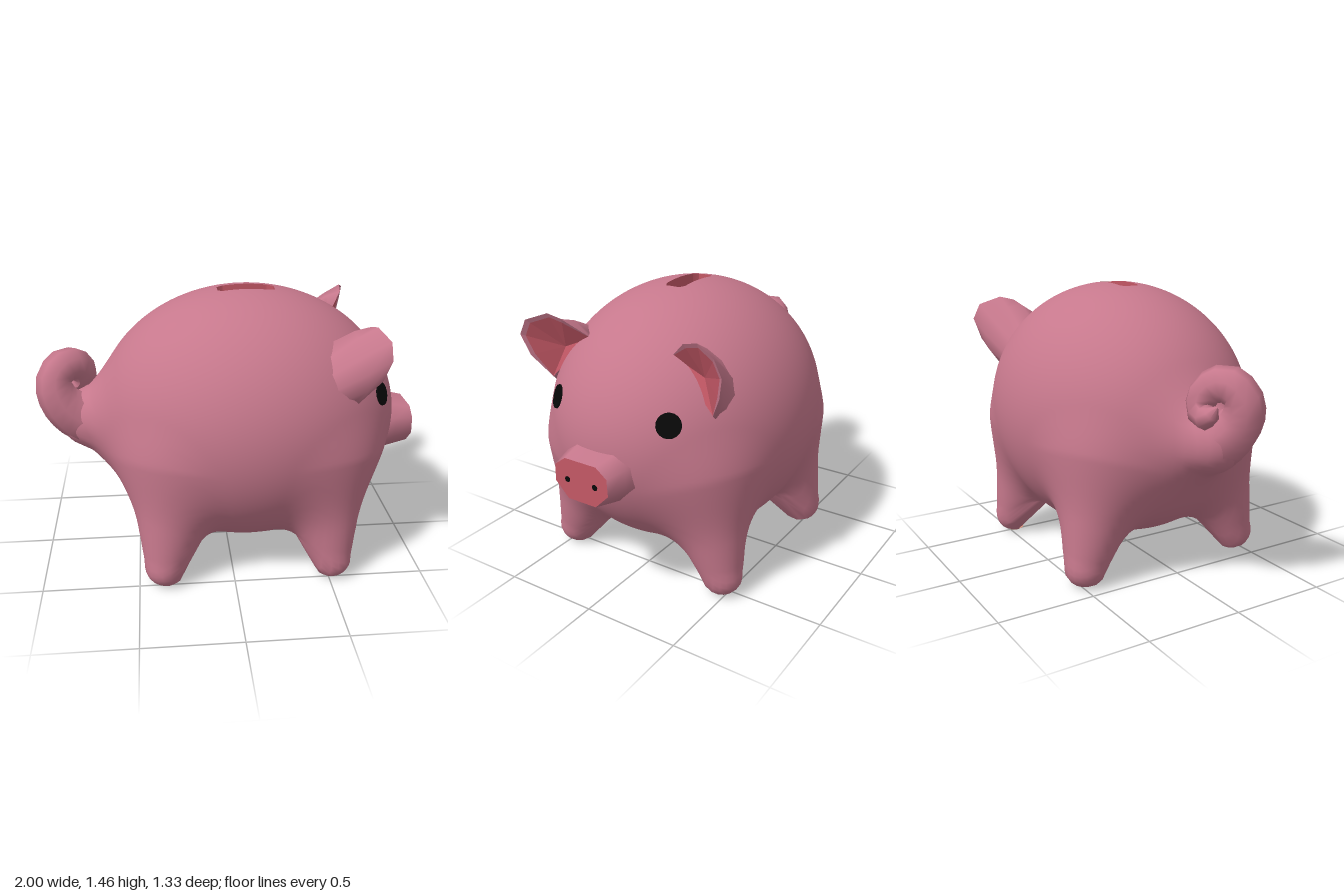
import * as THREE from 'three';

const mat = (name, color) => Object.assign(new THREE.MeshStandardMaterial({ color }), { name });
const V = (x, y, z) => new THREE.Vector3(x, y, z);
const mix = THREE.MathUtils.lerp;
const clamp = THREE.MathUtils.clamp;

// Skin closed rings of points; faces point along (ring direction x next ring)
function loft(rings, { flip = false, smooth = false } = {}) {
  const n = rings[0].length, index = [];
  for (let i = 0; i < rings.length - 1; i++) {
    for (let j = 0; j < n; j++) {
      const a = i * n + j, b = i * n + (j + 1) % n, c = a + n, d = b + n;
      index.push(...(flip ? [a, c, b, b, c, d] : [a, b, c, b, d, c]));
    }
  }
  let g = new THREE.BufferGeometry().setFromPoints(rings.flat());
  g.setIndex(index);
  if (!smooth) g = g.toNonIndexed();
  g.computeVertexNormals();
  return g;
}

// Body as a soft union of an egg, four legs and a tail root
const EGG = V(0.1, 0.78, 0), RADII = V(0.8, 0.68, 0.665), CORE = V(0.1, 0.7, 0);
const LIMBS = [[V(-0.4, 0.76, 0), 0.32, V(-0.74, 0.77, 0.02), 0.155]];
const FEET = [];
for (const s of [1, -1]) {
  LIMBS.push([V(0.46, 0.6, 0.3 * s), 0.27, V(0.515, 0.1, 0.465 * s), 0.105]);
  LIMBS.push([V(-0.28, 0.6, 0.3 * s), 0.27, V(-0.36, 0.1, 0.465 * s), 0.11]);
  FEET.push([0.515, 0.465 * s], [-0.36, 0.465 * s]);
}
const BLEND = 0.14;

function distance(p) {
  const q = p.clone().sub(EGG).divide(RADII), k = q.length();
  let d = k * (k - 1) / q.clone().divide(RADII).length();
  for (const [a, ra, b, rb] of LIMBS) {
    const ab = b.clone().sub(a), ap = p.clone().sub(a);
    const t = clamp(ap.dot(ab) / ab.lengthSq(), 0, 1);
    const e = ap.addScaledVector(ab, -t).length() - mix(ra, rb, t);
    const h = Math.max(BLEND - Math.abs(d - e), 0) / BLEND;
    d = Math.min(d, e) - h * h * BLEND / 4;
  }
  return Math.max(d, 0.008 - p.y);
}

// Point on the body in a direction from its core
function onBody(dir) {
  const p = V(0, 0, 0);
  dir.normalize();
  let t = 1.3;
  for (let i = 0; i < 60; i++) {
    const d = distance(p.copy(CORE).addScaledVector(dir, t));
    if (d < 0.0005) break;
    t -= d * 0.8;
  }
  return p;
}

// Rings run from the slot's outline down to the belly
function bodyRings(rows, cols) {
  return Array.from({ length: rows + 1 }, (_, i) => {
    const t = i / rows, th = Math.PI * t, fade = (1 - t) ** 4 / 0.755;
    return Array.from({ length: cols }, (_, j) => {
      const f = j / cols * Math.PI * 2, c = Math.cos(f), s = Math.sin(f);
      const slotX = 0.15 * clamp(1.15 * c, -1, 1), slotZ = 0.055 * clamp(1.35 * s, -1, 1);
      return onBody(V(Math.sin(th) * c + slotX * fade, Math.cos(th), Math.sin(th) * s + slotZ * fade));
    });
  });
}

export function createModel() {
  const pink = mat('pink', 0xc6788c), red = mat('inner red', 0xc45866);
  const tan = mat('tan', 0xd8907a), black = mat('black', 0x080808);
  const model = new THREE.Group();
  model.name = 'piggyBank';
  const add = (name, geometry, material, parent = model) => {
    const m = new THREE.Mesh(geometry, material);
    m.name = name;
    parent.add(m);
    return m;
  };

  // Hollow body with an open coin slot
  const rings = bodyRings(120, 144);
  add('body', loft(rings, { smooth: true }), pink);
  const slotDepth = rings[0].map(p => V(p.x, p.y - 0.1, p.z));
  add('slotWalls', loft([rings[0], slotDepth], { flip: true }), red);

  // Lining, an egg turned inside out
  const lining = new THREE.SphereGeometry(0.96, 32, 20).scale(-RADII.x, -RADII.y, -RADII.z);
  lining.computeVertexNormals();
  add('lining', lining, red).position.copy(EGG);

  // Belly plug with a bevelled rim and a diagonal grip
  const plug = add('bellyPlug', new THREE.CylinderGeometry(0.165, 0.11, 0.03, 16), tan);
  plug.position.set(0.1, 0.116, 0);
  plug.scale.z = 0.88;
  const inside = add('plugInside', new THREE.CylinderGeometry(0.15, 0.15, 0.01, 16), tan);
  inside.position.set(0.1, 0.14, 0);
  const grip = add('plugGrip', new THREE.BoxGeometry(0.17, 0.006, 0.045), tan);
  grip.position.set(0.1, 0.1, 0);
  grip.rotation.y = 0.6;

  // Foot pads
  for (const [x, z] of FEET) {
    add('footPad', new THREE.CylinderGeometry(0.05, 0.035, 0.009, 12), tan).position.set(x, 0.0045, z);
  }

  // Snout
  const outline = [[-0.09, 0.1], [0.09, 0.1], [0.15, 0.055], [0.155, -0.03],
    [0.08, -0.105], [-0.08, -0.105], [-0.155, -0.03], [-0.15, 0.055]];
  const snoutRing = (x, k) => outline.map(([z, y]) => V(x, 0.695 + y * k, z * k));
  add('snout', loft([snoutRing(0.8, 1.35), snoutRing(0.9, 1.18), snoutRing(0.998, 1)], { smooth: true }), pink);
  add('snoutFace', loft([snoutRing(0.998, 1), snoutRing(0.998, 0)]), red);

  for (const s of [1, -1]) {
    // Nostril
    const nostril = add('nostril', new THREE.CylinderGeometry(0.015, 0.015, 0.004, 10), black);
    nostril.rotation.z = -Math.PI / 2;
    nostril.position.set(0.998, 0.69, 0.08 * s);

    // Eye, a thin plate lying on the body
    const at = onBody(V(0.77, 0.97, 0.33 * s).sub(CORE));
    const normal = at.clone().sub(EGG).divide(RADII).divide(RADII).normalize();
    const eye = add('eye', new THREE.CylinderGeometry(0.058, 0.06, 0.009, 18), black);
    eye.position.copy(at).addScaledVector(normal, 0.003);
    eye.quaternion.setFromUnitVectors(V(0, 1, 0), normal);

    // Ear: a folded cup with a red hollow
    const pts = list => list.map(([x, y, z]) => V(x, y, z * s));
    const rim = pts([[0.6, 1.235, 0.24], [0.68, 1.33, 0.35], [0.69, 1.35, 0.43], [0.73, 1.31, 0.54],
      [0.73, 1.23, 0.58], [0.7, 1.12, 0.55], [0.63, 1.0, 0.475]]);
    const base = pts([[0.56, 1.22, 0.25], [0.48, 1.25, 0.34], [0.46, 1.2, 0.42], [0.45, 1.12, 0.475],
      [0.47, 1.05, 0.5], [0.53, 1.0, 0.49], [0.57, 0.98, 0.47]]);
    const mid = rim.map((p, i) => p.clone().lerp(base[i], 0.4));
    const centre = mid.reduce((a, p) => a.addScaledVector(p, 1 / mid.length), V(0, 0, 0));
    mid.forEach(p => p.sub(centre).multiplyScalar(1.08).add(centre));
    const pit = V(0.595, 1.16, 0.41 * s);
    const lip = rim.map((p, i) => p.clone().lerp(pit, i % 6 ? 0.12 : 0.01));
    const ear = new THREE.Group();
    ear.name = s > 0 ? 'leftEar' : 'rightEar';
    model.add(ear);
    add('earShell', loft([base, mid, rim], { flip: s < 0, smooth: true }), pink, ear);
    add('earLip', loft([rim, lip], { flip: s < 0 }), pink, ear);
    add('earHollow', loft([lip, lip.map(() => pit)], { flip: s < 0 }), red, ear);
  }

  // Curly tail, a thick tube tapered along its length
  const path = [[-0.6, 0.75, 0, 0.15], [-0.77, 0.78, 0.04, 0.14], [-0.885, 0.895, 0.075, 0.105],
    [-0.905, 1.01, 0.06, 0.09], [-0.84, 1.07, 0.01, 0.09], [-0.775, 1.03, -0.05, 0.08],
    [-0.77, 0.95, -0.08, 0.07], [-0.83, 0.92, -0.09, 0.06], [-0.88, 0.96, -0.08, 0.03], [-0.89, 0.98, -0.07, 0]];
  const curve = new THREE.CatmullRomCurve3(path.map(([x, y, z]) => V(x, y, z)));
  const segs = 20, sides = 8;
  const tail = new THREE.TubeGeometry(curve, segs, 1, sides);
  const pos = tail.attributes.position;
  for (let i = 0; i <= segs; i++) {
    const c = curve.getPointAt(i / segs);
    const u = curve.getUtoTmapping(i / segs) * (path.length - 1);
    const k = Math.min(Math.floor(u), path.length - 2);
    const r = mix(path[k][3], path[k + 1][3], u - k);
    for (let j = 0; j <= sides; j++) {
      const n = i * (sides + 1) + j;
      const p = V(0, 0, 0).fromBufferAttribute(pos, n).sub(c).multiplyScalar(r).add(c);
      pos.setXYZ(n, p.x, p.y, p.z);
    }
  }
  tail.computeVertexNormals();
  add('tail', tail, pink);
  return model;
}
